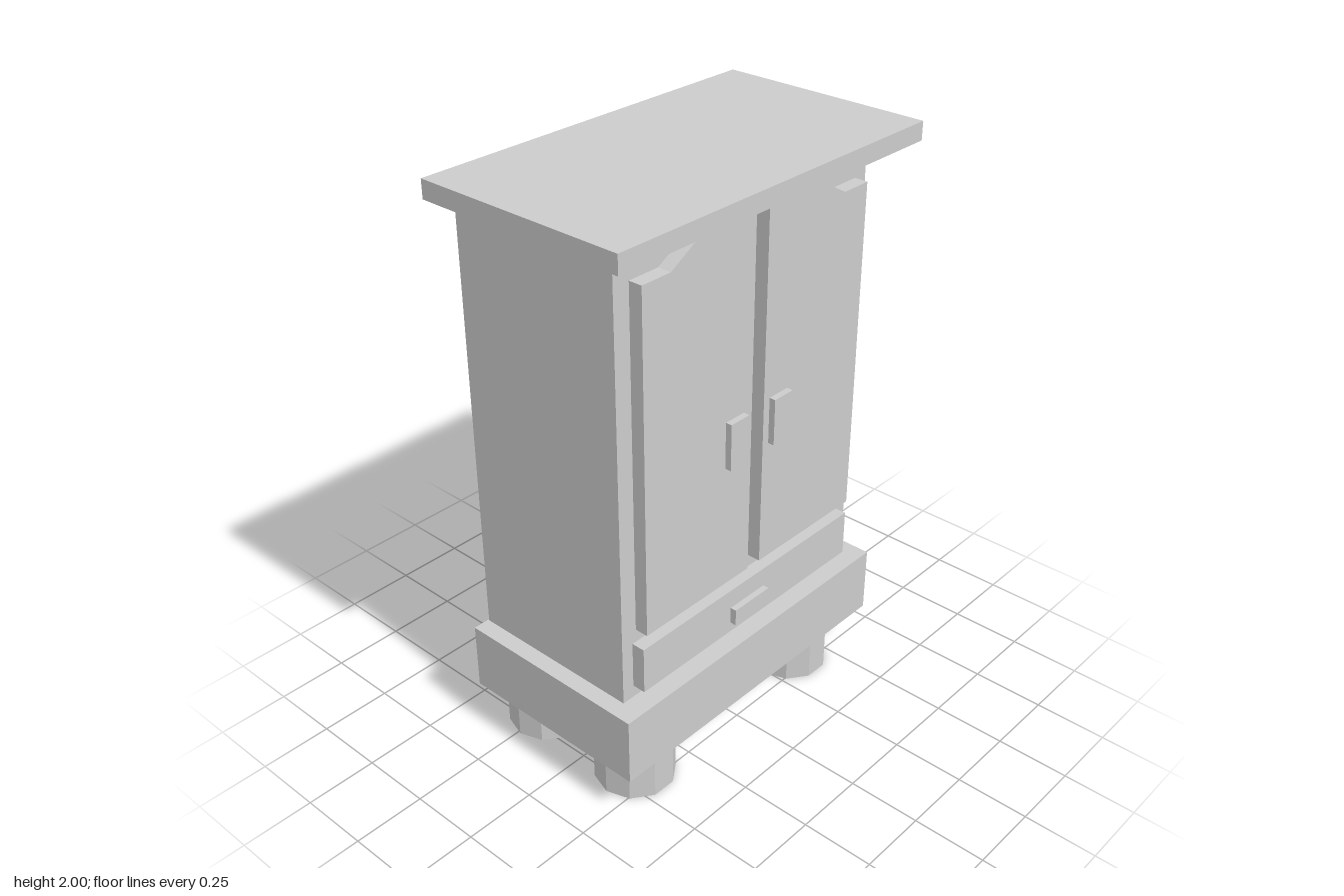
import * as THREE from 'three';

export function createModel() {
  const group = new THREE.Group();
  const grey = new THREE.MeshStandardMaterial({ color: 0xcccccc, flatShading: true });
  grey.name = 'plain grey';

  const add = (name, geometry) => {
    const mesh = new THREE.Mesh(geometry, grey);
    mesh.name = name;
    group.add(mesh);
    return mesh;
  };

  // Box given by its limits on each axis
  const box = (name, [x0, x1], [y0, y1], [z0, z1]) =>
    add(name, new THREE.BoxGeometry(x1 - x0, y1 - y0, z1 - z0))
      .position.set((x0 + x1) / 2, (y0 + y1) / 2, (z0 + z1) / 2);

  // Carcass, plinth and overhanging top
  box('body', [-0.375, 0.25], [0.408, 1.938], [-0.56, 0.554]);
  box('plinth', [-0.38, 0.328], [0.17, 0.408], [-0.613, 0.613]);
  box('topBoard', [-0.377, 0.38], [1.938, 2], [-0.66, 0.663]);

  // Ten-sided feet
  for (const x of [-0.24, 0.174]) {
    for (const z of [0.431, -0.377]) {
      add('foot', new THREE.CylinderGeometry(0.137, 0.137, 0.17, 10)).position.set(x, 0.085, z);
    }
  }

  // Doors face +x; each top edge steps up towards the middle
  const door = (name, outer, slopeLow, slopeHigh, inner) => {
    const points = [[outer, 0.662], [inner, 0.662], [inner, 1.897],
      [slopeHigh, 1.897], [slopeLow, 1.828], [outer, 1.828]];
    const shape = new THREE.Shape(points.map(([z, y]) => new THREE.Vector2(-z, y)));
    const geometry = new THREE.ExtrudeGeometry(shape, { depth: 0.057, bevelEnabled: false });
    add(name, geometry.rotateY(Math.PI / 2)).position.x = 0.24;
  };
  door('leftDoor', 0.493, 0.379, 0.257, 0.021);
  door('rightDoor', -0.507, -0.395, -0.273, -0.037);

  // Drawer front and the three handles
  box('drawer', [0.24, 0.297], [0.452, 0.616], [-0.505, 0.509]);
  box('leftDoorHandle', [0.29, 0.319], [1.096, 1.257], [0.058, 0.14]);
  box('rightDoorHandle', [0.29, 0.319], [1.096, 1.257], [-0.149, -0.064]);
  box('drawerHandle', [0.29, 0.319], [0.488, 0.547], [-0.064, 0.101]);

  return group;
}
